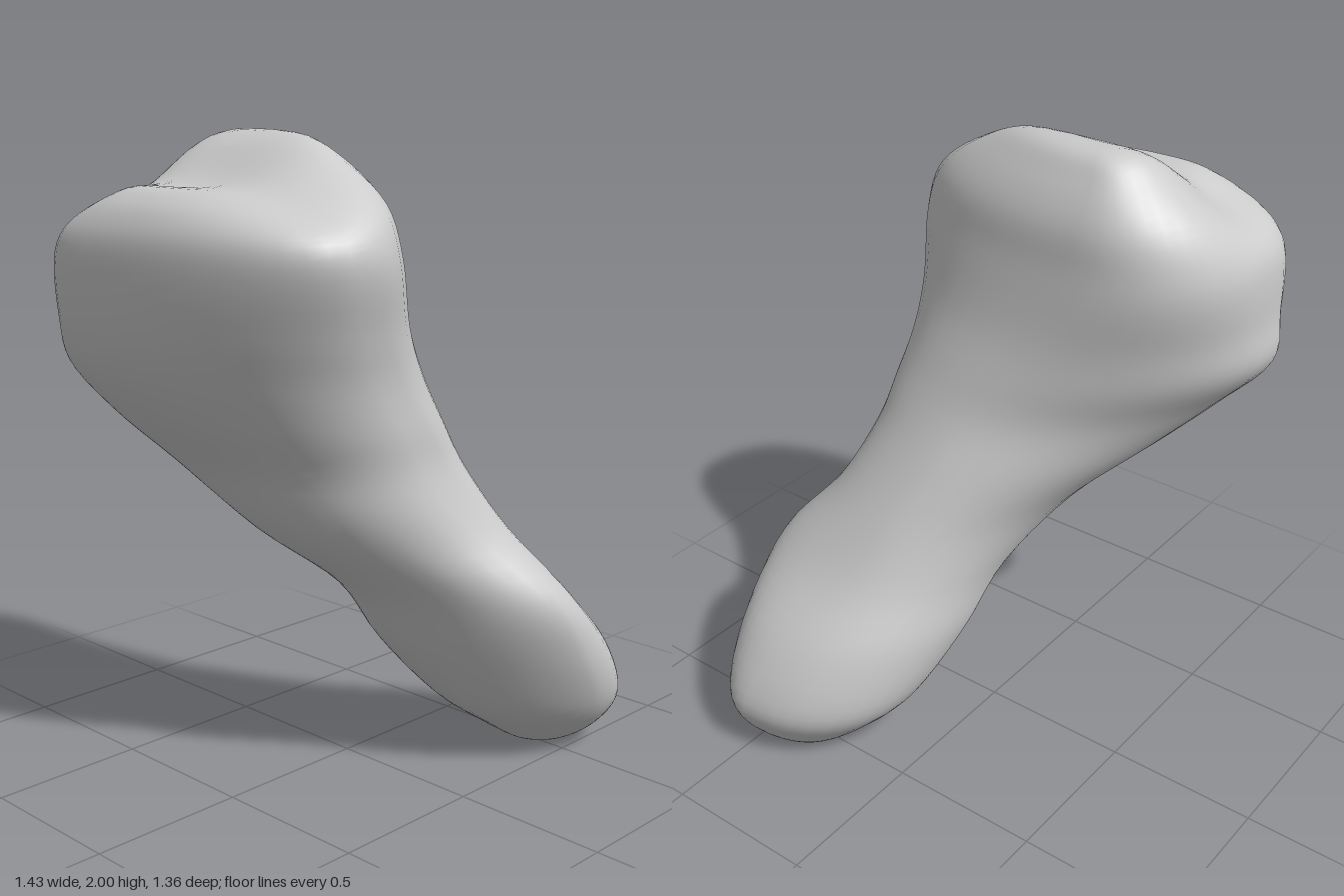
import * as THREE from 'three';

// Horizontal sections: height, then the [x, z] of the right-most, front-most,
// left-most and rear-most point of the outline.
const SECTIONS = [
  [0.00, 0.53, 0.39, 0.53, 0.39, 0.53, 0.39, 0.53, 0.39],
  [0.01, 0.61, 0.42, 0.55, 0.46, 0.45, 0.36, 0.49, 0.29],
  [0.08, 0.69, 0.48, 0.56, 0.56, 0.34, 0.35, 0.42, 0.18],
  [0.20, 0.72, 0.48, 0.52, 0.64, 0.18, 0.33, 0.35, 0.07],
  [0.40, 0.62, 0.41, 0.38, 0.68, 0.02, 0.23, 0.20, -0.01],
  [0.60, 0.44, 0.29, 0.25, 0.66, -0.10, 0.18, 0.04, -0.06],
  [0.80, 0.31, 0.20, 0.13, 0.51, -0.32, -0.01, -0.18, -0.18],
  [1.00, 0.20, 0.12, 0.01, 0.43, -0.45, -0.22, -0.35, -0.39],
  [1.15, 0.13, 0.08, -0.08, 0.41, -0.57, -0.34, -0.45, -0.54],
  [1.30, 0.08, 0.00, -0.18, 0.40, -0.66, -0.42, -0.50, -0.67],
  [1.45, 0.04, -0.10, -0.27, 0.42, -0.70, -0.42, -0.48, -0.67],
  [1.65, 0.01, -0.23, -0.35, 0.46, -0.71, -0.38, -0.43, -0.66],
  [1.80, -0.01, -0.28, -0.36, 0.41, -0.69, -0.32, -0.40, -0.59],
  [1.92, -0.07, -0.28, -0.36, 0.26, -0.64, -0.27, -0.38, -0.46],
  [1.99, -0.14, -0.25, -0.34, 0.08, -0.54, -0.23, -0.34, -0.36],
  [2.00, -0.30, -0.20, -0.30, -0.20, -0.30, -0.20, -0.30, -0.20],
];
const AROUND = 40, STEPS = 5;
const { smoothstep, clamp } = THREE.MathUtils;

// Smooth interpolation of a section between the listed ones
function sectionAt(t) {
  const last = SECTIONS.length - 1, i = Math.min(Math.floor(t), last - 1), f = t - i;
  const row = (k) => SECTIONS[clamp(k, 0, last)];
  return row(i).map((p1, c) => {
    const p0 = row(i - 1)[c], p2 = row(i + 1)[c], p3 = row(i + 2)[c];
    return p1 + 0.5 * f * (p2 - p0 + f * (2 * p0 - 5 * p1 + 4 * p2 - p3 + f * (3 * (p1 - p2) + p3 - p0)));
  });
}

// Four quarter curves join the extreme points; a power above 1 flattens a
// quarter (the slim lower shaft), below 1 squares it (the head)
function outlinePoint(s, j) {
  const quarter = Math.floor((4 * j) / AROUND);
  const a = ((4 * j) / AROUND - quarter) * Math.PI / 2;
  const neck = smoothstep(s[0], 0.6, 0.95);
  const flank = Math.exp(-(((s[0] - 1.1) / 0.3) ** 2));
  const head = smoothstep(s[0], 1.3, 1.65);
  const power = [0.9, 1.22 - 0.34 * neck - 0.06 * head, 1 - 0.25 * head, 1 + 0.2 * flank - 0.15 * head][quarter];
  const c = Math.cos(a) ** power, d = Math.sin(a) ** power;
  const n = (quarter + 1) % 4;
  const [x0, z0, x1, z1] = [s[1 + 2 * quarter], s[2 + 2 * quarter], s[1 + 2 * n], s[2 + 2 * n]];
  return quarter % 2 === 0
    ? [x1 + (x0 - x1) * c, z0 + (z1 - z0) * d]
    : [x0 + (x1 - x0) * d, z1 + (z0 - z1) * c];
}

function boneGeometry() {
  const positions = [], index = [];
  const rows = (SECTIONS.length - 1) * STEPS;
  for (let i = 0; i <= rows; i++) {
    const s = sectionAt(i / STEPS);
    for (let j = 0; j < AROUND; j++) {
      const [x, z] = outlinePoint(s, j);
      // Joint surface slopes down from the ridge to a shallow dish
      const slope = smoothstep(-x, 0.16, 0.5) * 0.12;
      const dish = 0.04 * Math.exp(-(((x + 0.47) / 0.13) ** 2) - ((z + 0.2) / 0.4) ** 2);
      const drop = smoothstep(s[0], 1.6, 2) * (slope + dish);
      positions.push(x, clamp(s[0], 0, 2) - drop, z);
      if (i === rows) continue;
      const a = i * AROUND + j, b = i * AROUND + (j + 1) % AROUND;
      index.push(a, a + AROUND, b, b, a + AROUND, b + AROUND);
    }
  }
  const geometry = new THREE.BufferGeometry();
  geometry.setAttribute('position', new THREE.Float32BufferAttribute(positions, 3));
  geometry.setIndex(index);
  geometry.computeVertexNormals();
  return geometry;
}

export function createModel() {
  const group = new THREE.Group();
  group.name = 'bone';
  // Shaft with a rounded lower end and a broad, flanged head
  const bone = new THREE.Mesh(boneGeometry(), new THREE.MeshStandardMaterial({ color: 0xcccccc }));
  bone.name = 'boneShaftAndHead';
  group.add(bone);
  return group;
}
